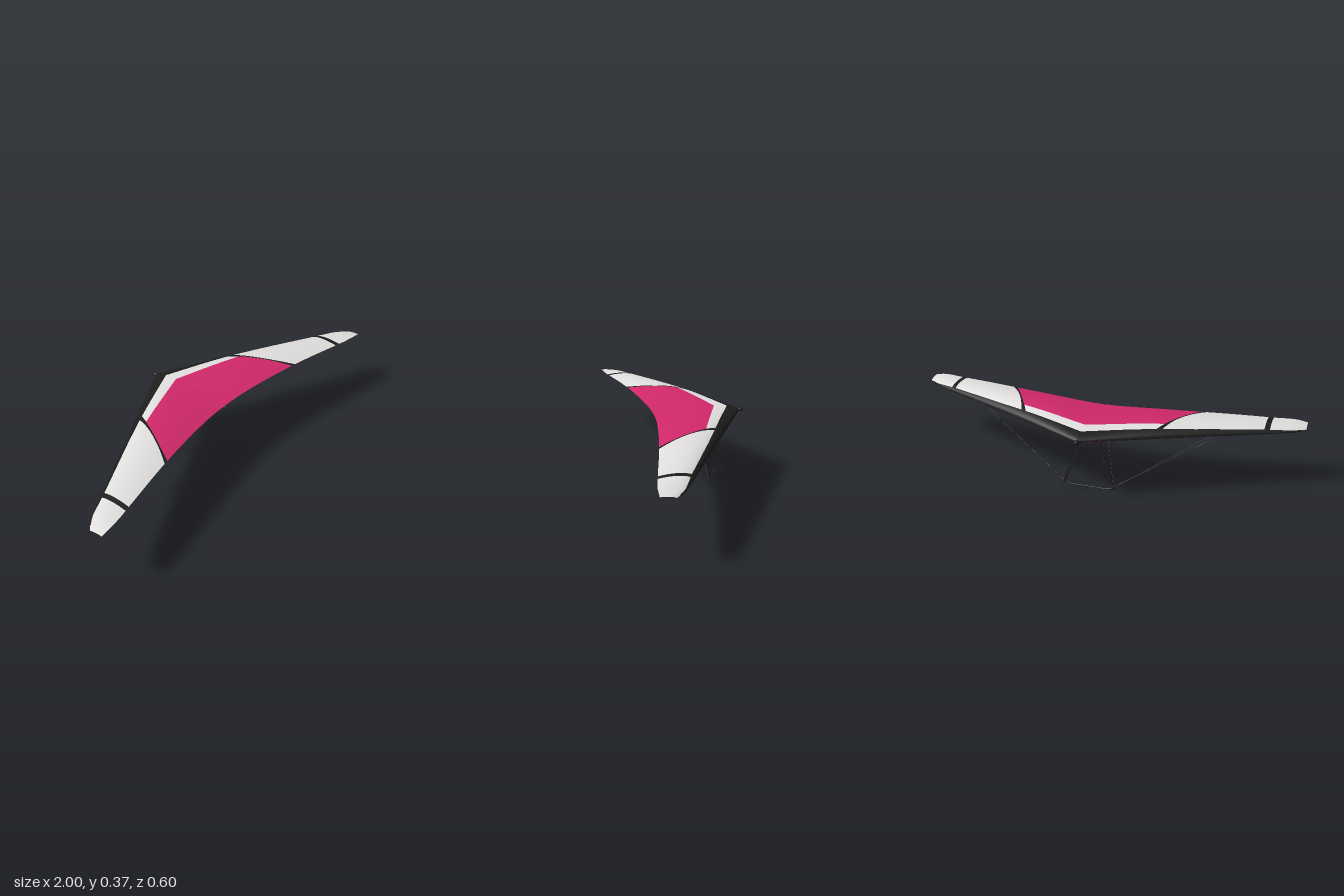
import * as THREE from 'three';

const material = (name, color, side = THREE.FrontSide) => {
  const m = new THREE.MeshStandardMaterial({ color, side });
  m.name = name;
  return m;
};

// Smooth curve through a few [x, value] stations
const curveOf = (stations, Type = THREE.CubicInterpolant) => {
  const it = new Type(stations.map(s => s[0]), stations.map(s => s[1]), 1);
  const last = stations[stations.length - 1];
  return x => (x >= last[0] ? last[1] : it.evaluate(Math.max(x, 0))[0]);
};

// Wing plan and section, by distance from the centre line
const leadZ = curveOf([[0, -0.28], [0.93, 0.174], [0.975, 0.205], [1, 0.23]], THREE.LinearInterpolant);
const trailZ = curveOf([[0, 0.153], [0.1, 0.157], [0.25, 0.174], [0.5, 0.212], [0.8, 0.27], [0.93, 0.294], [1, 0.297]]);
const leadY = curveOf([[0, 0.335], [0.3, 0.328], [0.7, 0.316], [0.95, 0.31], [1, 0.307]]);
const trailY = curveOf([[0, 0.338], [0.3, 0.342], [0.6, 0.338], [0.85, 0.328], [0.95, 0.325], [1, 0.317]]);
const crown = curveOf([[0, 0.029], [0.3, 0.037], [0.5, 0.033], [0.7, 0.024], [0.85, 0.015], [1, 0.005]]);
const belly = curveOf([[0, 0.024], [0.3, 0.012], [0.6, 0.006], [1, 0.002]]);
const bandWidth = curveOf([[0, 0.065], [0.34, 0.037], [0.5, 0.027], [0.8, 0.016], [0.97, 0.003], [1, 0]], THREE.LinearInterpolant);
const bandZ = x => leadZ(x) + bandWidth(x);
const panelZ = x => -0.15 + 0.336 * x;
const noseZ = () => -0.262;
const lowerZ = x => Math.max(leadZ(x), noseZ());

function sailY(x, z, upper) {
  const t = THREE.MathUtils.clamp((z - leadZ(x)) / (trailZ(x) - leadZ(x)), 0, 1);
  const chord = THREE.MathUtils.lerp(leadY(x), trailY(x), t);
  return upper
    ? chord + crown(x) * 2.6 * Math.sqrt(t) * (1 - t)
    : chord - belly(x) * 6 * Math.pow(t, 0.7) * Math.pow(1 - t, 3);
}

// Edges of sail panels as v -> [x, z]; a seam runs front to back and may bow inward
const along = (x0, x1, f) => v => {
  const x = THREE.MathUtils.lerp(x0, x1, v);
  return [x, f(x)];
};
const seam = (x0, x1, f, bow = 0) => v => [
  THREE.MathUtils.lerp(x0, x1, v) - bow * 4 * v * (1 - v),
  THREE.MathUtils.lerp(f(x0), trailZ(x1), v),
];

// Panel lofted between two edges and laid on the sail surface
function panelGeometry(a, b, upper, side) {
  const nv = 40, nw = 20;
  const g = new THREE.PlaneGeometry(1, 1, nv, nw);
  const p = g.attributes.position;
  for (let j = 0, i = 0; j <= nw; j++) {
    const w = (j / nw) ** 1.5;
    for (let k = 0; k <= nv; k++, i++) {
      const [ax, az] = a(k / nv), [bx, bz] = b(k / nv);
      const x = ax + (bx - ax) * w, z = az + (bz - az) * w;
      p.setXYZ(i, side * x, sailY(x, z, upper), z);
    }
  }
  g.computeVertexNormals();
  return g;
}

export function createModel() {
  const root = new THREE.Group();
  root.name = 'hangGlider';
  const pink = material('magenta sail', 0xd0286a, THREE.DoubleSide);
  const pale = material('pale grey sail', 0xe2e0de, THREE.DoubleSide);
  const grey = material('grey lower sail', 0xc4c4c4, THREE.DoubleSide);
  const black = material('black trim', 0x1d1d1d, THREE.DoubleSide);
  const metal = material('dark frame', 0x202020);

  const add = (name, geometry, mat) => {
    const m = new THREE.Mesh(geometry, mat);
    m.name = name;
    root.add(m);
    return m;
  };
  const V = (x, y, z) => new THREE.Vector3(x, y, z);
  const tube = (name, pts, r, segs = 24, sides = 10) =>
    add(name, new THREE.TubeGeometry(new THREE.CatmullRomCurve3(pts), segs, r, sides), metal);
  const rod = (name, a, b, r, sides = 6) =>
    add(name, new THREE.TubeGeometry(new THREE.LineCurve3(a, b), 1, r, sides), metal);
  const ball = (name, pos, r, sx = 1, sy = 1, sz = 1) => {
    const m = add(name, new THREE.SphereGeometry(r, 16, 12), metal);
    m.position.copy(pos);
    m.scale.set(sx, sy, sz);
  };

  const panels = [
    // Upper skin
    ['leadingEdgeBand', black, true, along(0, 1, leadZ), along(0, 1, bandZ)],
    ['noseStripe', pale, true, along(0, 0.33, bandZ), along(0, 0.357, panelZ)],
    ['centrePanel', pink, true, along(0, 0.357, panelZ), along(0, 0.49, trailZ)],
    ['seamStripe', black, true, seam(0.33, 0.49, bandZ), seam(0.358, 0.512, bandZ, 0.013)],
    ['seamBorder', pale, true, seam(0.358, 0.512, bandZ, 0.013), seam(0.358, 0.512, bandZ)],
    ['outerPanel', pale, true, along(0.358, 0.81, bandZ), along(0.512, 0.81, trailZ)],
    ['tipStripe', black, true, along(0.81, 0.835, bandZ), along(0.81, 0.835, trailZ)],
    ['tipPanel', pale, true, along(0.835, 1, bandZ), along(0.835, 1, trailZ)],
    // Lower skin
    ['lowerNosePatch', black, false, along(0, 0.037, leadZ), along(0, 0.037, noseZ)],
    ['lowerCentrePanel', pink, false, along(0, 0.3, lowerZ), along(0, 0.49, trailZ)],
    ['lowerSeamStripe', black, false, seam(0.3, 0.49, leadZ), seam(0.317, 0.506, leadZ)],
    ['lowerOuterPanel', grey, false, along(0.317, 0.835, leadZ), along(0.506, 0.835, trailZ)],
    ['lowerTipPanel', black, false, along(0.835, 1, leadZ), along(0.835, 1, trailZ)],
  ];

  for (const side of [1, -1]) {
    const label = side > 0 ? 'left ' : 'right ';
    for (const [name, mat, upper, a, b] of panels)
      add(label + name, panelGeometry(a, b, upper, side), mat);

    // Spar in the leading edge
    const spar = [0, 0.25, 0.5, 0.75, 0.93, 0.975].map(x => V(side * x, leadY(x), leadZ(x) + 0.006));
    tube(label + 'leadingEdgeSpar', spar, 0.005, 48);
    ball(label + 'sparEnd', spar[5], 0.005);

    // Streamlined upright, deeper than it is wide
    const deep = 1.7;
    const path = [[0.003, 0.328, -0.042], [0.062, 0.175, -0.068], [0.094, 0.1, -0.089], [0.127, 0.018, -0.101]];
    tube(label + 'upright', path.map(([x, y, z]) => V(side * x, y, z / deep)), 0.0045).scale.z = deep;

    // Corner fitting and rigging wires
    const corner = V(side * 0.129, 0.018, -0.102);
    ball(label + 'cornerFitting', corner, 0.008, 1, 1.3, 0.8);
    const ends = { noseWire: V(0, 0.332, -0.272), frontSideWire: V(side * 0.575, 0.32, 0),
      rearSideWire: V(side * 0.612, 0.319, 0.02), tailWire: V(0, 0.331, 0.153) };
    for (const [name, end] of Object.entries(ends)) rod(label + name, corner, end, 0.0009, 5);
  }

  // Keel, nose fitting and apex strap
  rod('keel', V(0, 0.335, -0.285), V(0, 0.333, 0.162), 0.0045, 10);
  ball('noseFitting', V(0, 0.337, -0.284), 0.009, 1.1, 1, 1.6);
  add('apexStrap', new THREE.BoxGeometry(0.018, 0.014, 0.012), pink).position.set(0, 0.319, -0.043);

  // Control bar
  tube('controlBar', [[-0.129, 0.018], [-0.115, 0.009], [-0.09, 0.0038], [0, 0.0038], [0.09, 0.0038], [0.115, 0.009], [0.129, 0.018]]
    .map(([x, y]) => V(x, y, -0.103)), 0.0036, 48);

  // Thin rods reaching forward from the bar
  for (const x of [-0.04, 0]) rod('forwardRod', V(x, 0.005, -0.103), V(x, 0.026, -0.212), 0.0015);

  return root;
}
